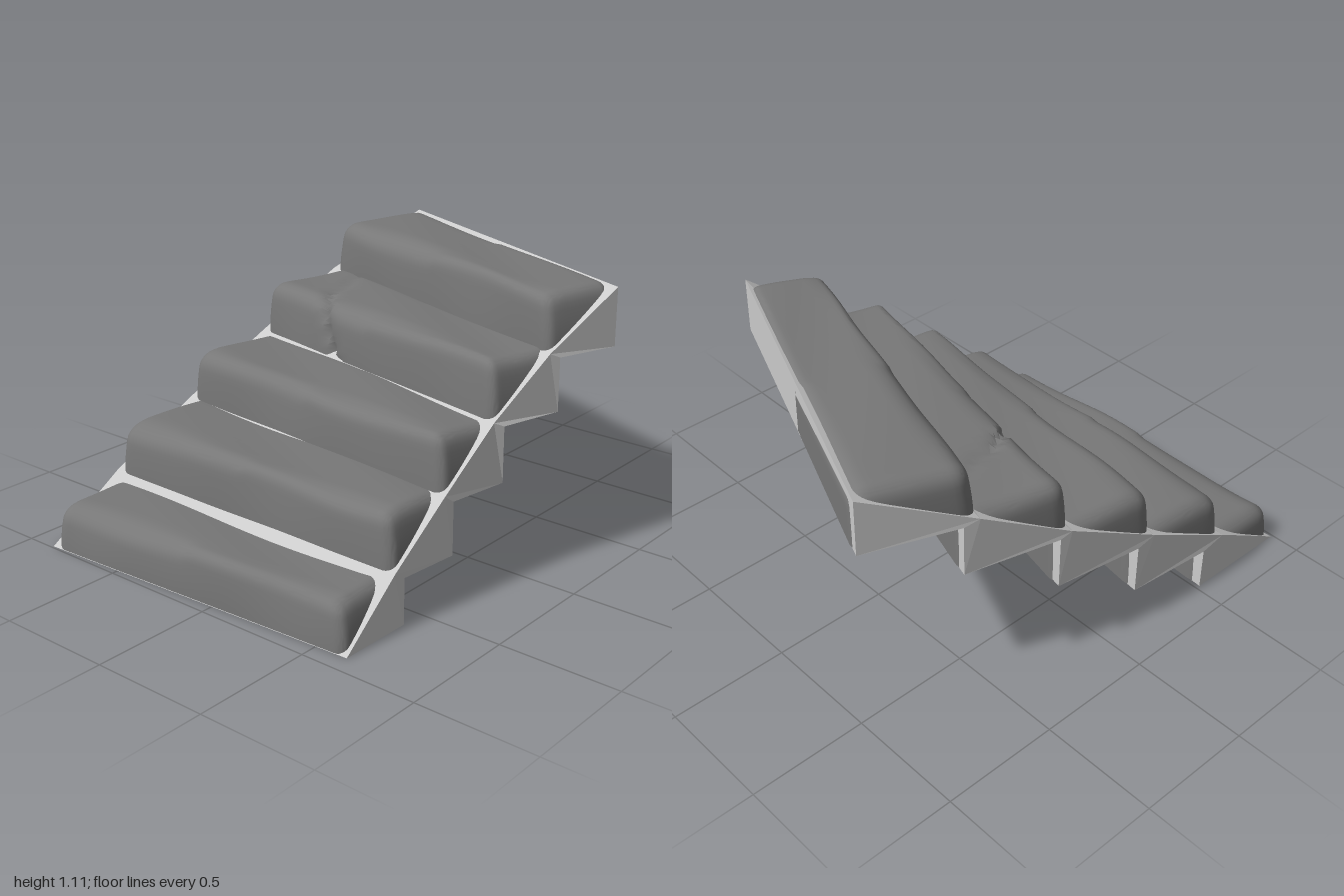
import * as THREE from 'three';
import { mergeVertices, toCreasedNormals } from 'three/addons/utils/BufferGeometryUtils.js';

// Plan points [x, z] of the step lines on the ramp and of the risers beneath it
const FRONT = {
  L: [[-0.87, 0.99], [-0.87, 0.63], [-0.84, 0.22], [-0.78, -0.19], [-0.69, -0.57], [-0.53, -1]],
  R: [[0.64, 0.92], [0.64, 0.65], [0.66, 0.38], [0.69, 0.12], [0.76, -0.14], [0.87, -0.43]],
};
const BACK = {
  L: [[-0.865, 0.52], [-0.83, 0.14], [-0.77, -0.24], [-0.67, -0.63], [-0.53, -1]],
  R: [[0.645, 0.6], [0.67, 0.34], [0.71, 0.08], [0.78, -0.18], [0.87, -0.43]],
};
const UNDER = [0, 0.19, 0.41, 0.64, 0.86, 1.1]; // underside levels
const TOPS = [0.2, 0.445, 0.66, 0.89, 1.108];   // tread levels
const STEPS = 5;

const lerp = THREE.MathUtils.lerp;
const vec = ([x, z], y) => new THREE.Vector3(x, y, z);

// Sloping curved slab with a sawtooth underside
function rampGeometry() {
  const pos = [];
  const tri = (a, b, c) => {
    if (a.equals(b) || b.equals(c) || a.equals(c)) return;
    for (const p of [a, b, c]) pos.push(p.x, p.y, p.z);
  };
  const quad = (a, b, c, d) => { tri(a, b, c); tri(a, c, d); };
  const F = (s, i) => vec(FRONT[s][i], i * 0.22);
  const P = (s, i) => (i === 0 ? F(s, 0) : vec(BACK[s][i - 1], UNDER[i]));
  const Q = (s, i) => vec(BACK[s][i], UNDER[i]);

  for (let i = 0; i < STEPS; i++) {
    quad(F('L', i), F('R', i), F('R', i + 1), F('L', i + 1)); // slope
    quad(P('L', i), Q('L', i), Q('R', i), P('R', i));         // underside
    quad(Q('L', i), P('L', i + 1), P('R', i + 1), Q('R', i)); // riser
    for (const s of ['L', 'R']) {                             // side walls
      const loop = [P(s, i + 1), F(s, i + 1), F(s, i), P(s, i)];
      for (let k = 0; k < 3; k++) {
        if (s === 'R') tri(Q(s, i), loop[k], loop[k + 1]);
        else tri(Q(s, i), loop[k + 1], loop[k]);
      }
    }
  }
  const geo = new THREE.BufferGeometry();
  geo.setAttribute('position', new THREE.Float32BufferAttribute(pos, 3));
  geo.computeVertexNormals();
  return geo;
}

// Worn stone block: a box with rounded top and corners, fitted to a wedge-shaped plan
function stoneGeometry(i) {
  const len = 1.5, depth = 0.42;
  const y0 = UNDER[i] + (i === 2 ? -0.003 : 0.002);
  const high = TOPS[i] - y0;
  const box = new THREE.BoxGeometry(2, 2, 2, 56, 14, 22);
  box.deleteAttribute('uv');
  box.deleteAttribute('normal');
  const geo = mergeVertices(box);
  const pos = geo.attributes.position;
  const ease = t => Math.sin(t * Math.PI / 2); // packs vertices towards the edges
  const p = new THREE.Vector3(), core = new THREE.Vector3();

  for (let k = 0; k < pos.count; k++) {
    p.fromBufferAttribute(pos, k);
    p.set(ease(p.x) * len / 2, (ease(p.y) + 1) * high / 2, ease(p.z) * depth / 2);

    // rounding, larger on the left end
    const r = p.x < 0 ? 0.065 : 0.045;
    core.set(
      THREE.MathUtils.clamp(p.x, r - len / 2, len / 2 - r),
      Math.min(p.y, high - r),
      THREE.MathUtils.clamp(p.z, r - depth / 2, depth / 2 - r));
    p.sub(core);
    const reach = Math.max(Math.abs(p.x), Math.abs(p.y), Math.abs(p.z));
    if (reach > 0) p.setLength(reach);
    p.add(core);

    let u = 0.5 + p.x / len, v = 0.5 - p.z / depth, y = p.y;
    const rise = y / high;

    // sides lean in towards the top
    u += rise * rise * (0.012 * (1 - u) - 0.025 * u);
    v += 0.04 * rise * rise * (1 - v);

    // uneven wear on the front edge and tread
    const wave = Math.sin(u * 9 + i * 2.1) + 0.6 * Math.sin(u * 17 + v * 4 + i * 3.7);
    v += 0.016 * (wave + 0.6) * rise * (1 - v);
    y -= 0.004 * rise * (1 + Math.sin(u * 7 + v * 5 + i * 1.7));
    y -= 0.022 * rise * Math.max(0, 1 - v * 4) * (1 + Math.sin(u * 8 + i * 1.3)) / 2;

    // slanting crack across the fourth stone
    if (i === 3) {
      const line = 0.28 - 0.17 * v + 0.07 * (1 - rise) + 0.008 * Math.sin(v * 14);
      const groove = Math.max(0, 1 - Math.abs(u - line) / 0.025) * Math.max(0, 1 - v * 0.9);
      y -= 0.03 * groove * rise;
      v += 0.07 * groove * (1 - v);
    }

    // fit to the plan of this step
    const left = u < 0.5 ? 0.006 : 0.004;
    const at = c => lerp(
      lerp(FRONT.L[i][c], BACK.L[i][c], v),
      lerp(FRONT.R[i][c], BACK.R[i][c], v), lerp(0.003, 0.99, u));
    const over = v * lerp(left, -0.006, u); // back face just crosses the riser
    pos.setXYZ(k, at(0) - over * 0.3, y0 + y, at(1) - over);
  }
  return toCreasedNormals(geo, 0.8);
}

export function createModel() {
  const model = new THREE.Group();
  model.name = 'curvedStoneStairs';

  const ramp = new THREE.Mesh(rampGeometry(), new THREE.MeshStandardMaterial({ color: 0xcccccc }));
  ramp.name = 'sawtoothRamp';
  model.add(ramp);

  const stoneMaterial = new THREE.MeshStandardMaterial({ color: 0x777777 });
  for (let i = 0; i < STEPS; i++) {
    const stone = new THREE.Mesh(stoneGeometry(i), stoneMaterial);
    stone.name = `stoneStep${i + 1}`;
    model.add(stone);
  }
  return model;
}
